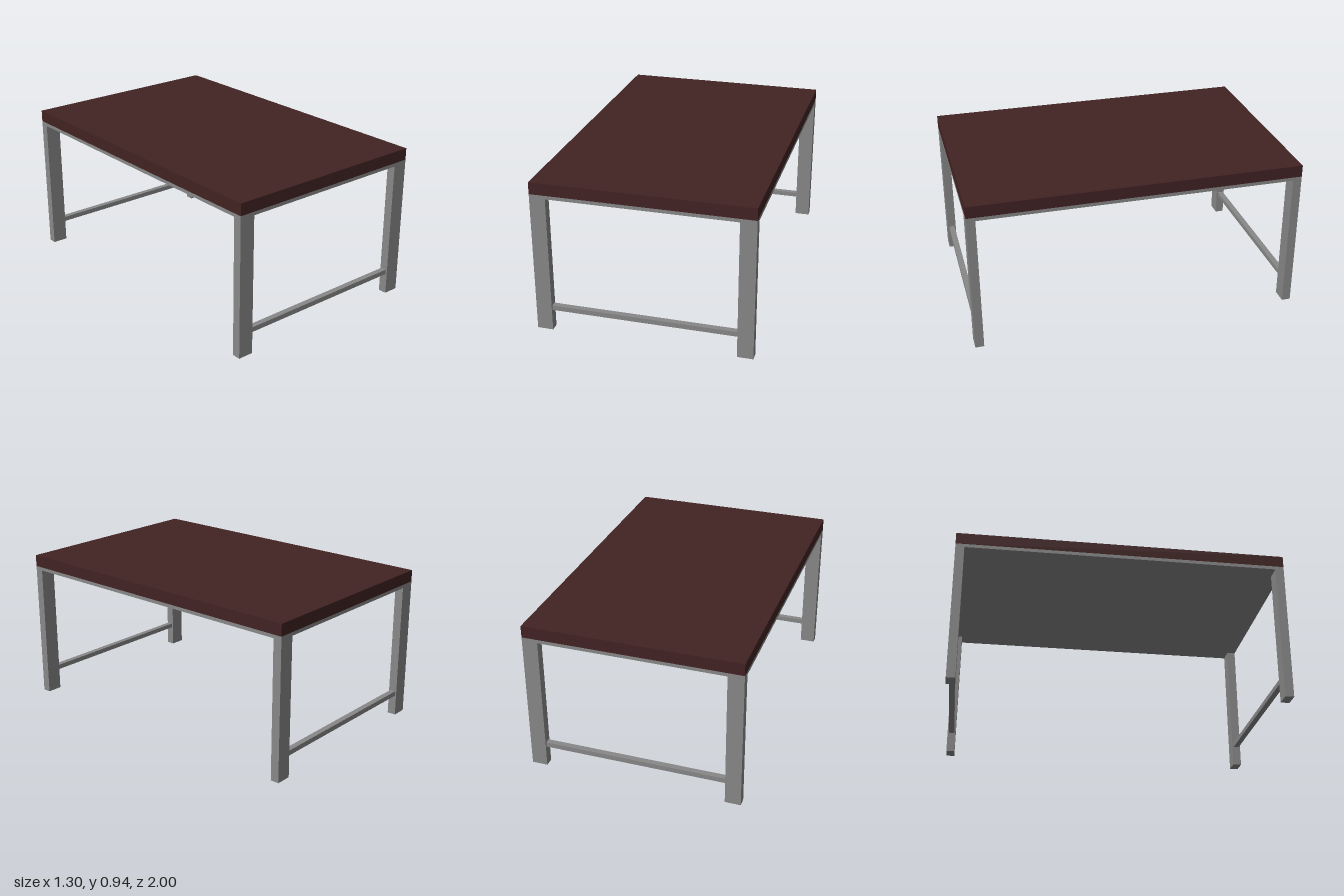
import * as THREE from 'three';

export function createModel() {
  const model = new THREE.Group();
  model.name = 'table';

  const wood = new THREE.MeshStandardMaterial({ color: 0x422223 });
  wood.name = 'dark wood';
  const metal = new THREE.MeshStandardMaterial({ color: 0x888888 });
  metal.name = 'grey metal';

  // Box given by its centre in x and z and its bottom and top heights
  function addBox(name, material, width, depth, bottom, top, x = 0, z = 0) {
    const mesh = new THREE.Mesh(new THREE.BoxGeometry(width, top - bottom, depth), material);
    mesh.name = name;
    mesh.position.set(x, (bottom + top) / 2, z);
    model.add(mesh);
  }

  const width = 1.3, length = 2;
  const legWidth = 0.095, legDepth = 0.053;
  const plateBottom = 0.845, plateTop = 0.866, height = 0.938;

  // Tabletop on its thin support plate
  addBox('tabletop', wood, width, length, plateTop, height);
  addBox('supportPlate', metal, width, length, plateBottom, plateTop);

  // A pair of legs joined by a low stretcher at each end
  for (const [end, side] of [['front', 1], ['back', -1]]) {
    const z = side * (length - legDepth) / 2;
    const legX = (width - legWidth) / 2;
    addBox(end + 'LeftLeg', metal, legWidth, legDepth, 0, plateBottom, legX, z);
    addBox(end + 'RightLeg', metal, legWidth, legDepth, 0, plateBottom, -legX, z);
    addBox(end + 'Stretcher', metal, width - 2 * legWidth, 0.035, 0.128, 0.158, 0, z);
  }

  return model;
}
